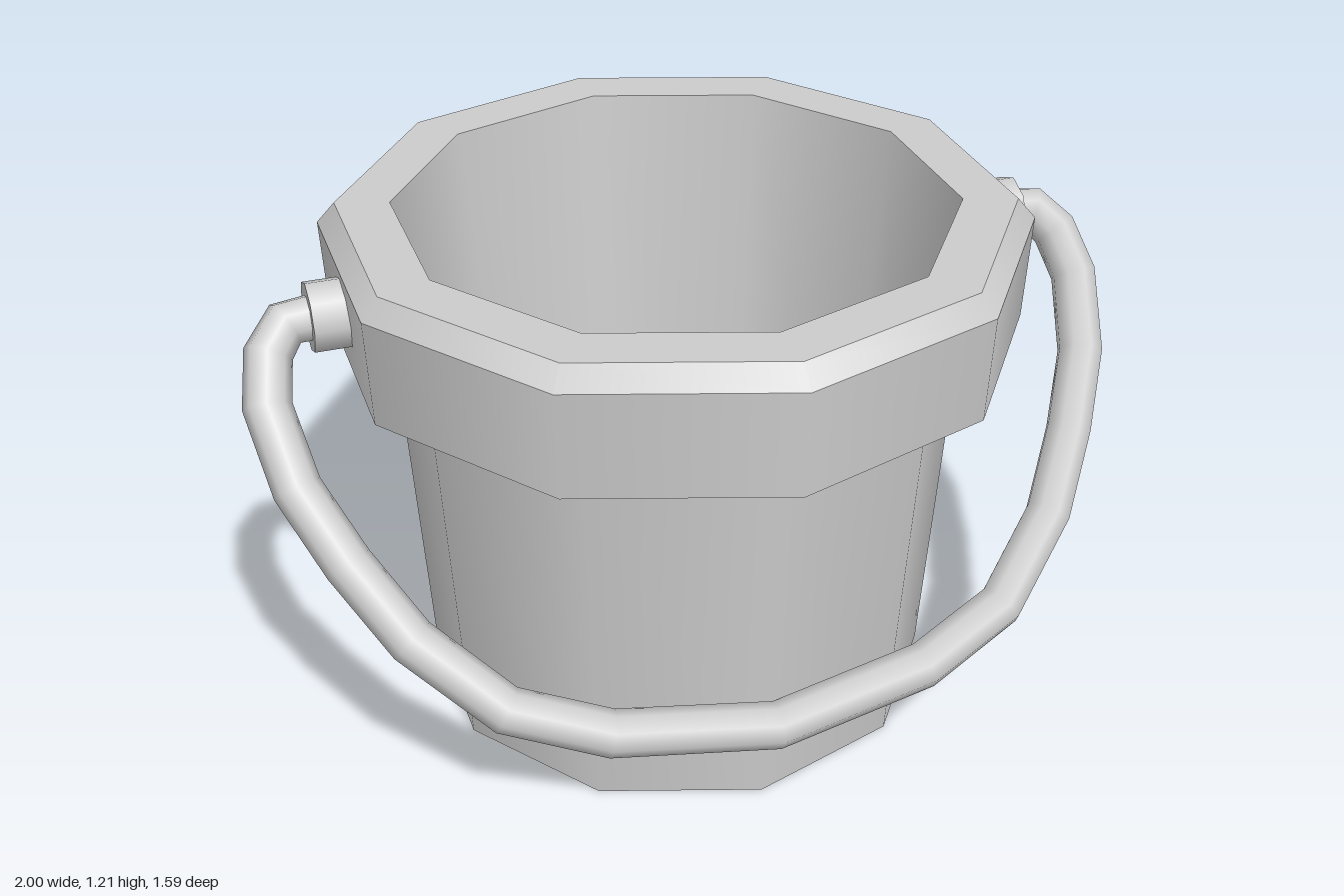
import * as THREE from 'three';

const SIDES = 10;

// Path through given points, one tube ring per point
class PointPath extends THREE.Curve {
  constructor(points) {
    super();
    this.points = points;
  }
  at(i) {
    return this.points[Math.min(Math.max(i, 0), this.points.length - 1)];
  }
  index(t) {
    return Math.round(t * (this.points.length - 1));
  }
  getPoint(t, target = new THREE.Vector3()) {
    return target.copy(this.at(this.index(t)));
  }
  getPointAt(t, target) {
    return this.getPoint(t, target);
  }
  getTangentAt(t, target = new THREE.Vector3()) {
    const i = this.index(t);
    const p = this.at(i);
    const before = p.clone().sub(this.at(i - 1)).normalize();
    const after = this.at(i + 1).clone().sub(p).normalize();
    return target.copy(before).add(after).normalize();
  }
}

export function createModel() {
  const model = new THREE.Group();
  const material = new THREE.MeshStandardMaterial({ color: 0xcccccc });

  const add = (name, geometry, parent = model) => {
    const mesh = new THREE.Mesh(geometry, material);
    mesh.name = name;
    parent.add(mesh);
    return mesh;
  };

  // Each band is its own lathe: smooth around, sharp between bands
  const addBands = (name, profile) => {
    const group = new THREE.Group();
    group.name = name;
    model.add(group);
    for (let i = 0; i < profile.length - 1; i++) {
      const pair = [profile[i], profile[i + 1]].map(([r, y]) => new THREE.Vector2(r, y));
      add(`${name}Band${i + 1}`, new THREE.LatheGeometry(pair, SIDES), group);
    }
  };

  // Bottom and tapered outer wall
  addBands('body', [[0, 0], [0.6, 0], [0.656, 0.915]]);
  // Collar: underside, side, bevel and flat top
  addBands('rim', [[0.656, 0.915], [0.785, 0.915], [0.796, 1.16], [0.755, 1.207], [0.632, 1.207]]);
  // Inner wall and floor
  addBands('inside', [[0.632, 1.207], [0.52, 0.06], [0, 0.06]]);

  // Pegs that hold the handle
  const pegY = 1.06;
  for (const side of [1, -1]) {
    const peg = add(side > 0 ? 'leftPeg' : 'rightPeg', new THREE.CylinderGeometry(0.08, 0.08, 0.13, 8));
    peg.rotation.z = Math.PI / 2;
    peg.position.set(side * 0.765, pegY, 0);
  }

  // Handle: half outline mirrored, hanging forward in a tilted plane
  const half = [
    [0.8, 1.06], [0.88, 1.055], [0.927, 1.01], [0.949, 0.925], [0.92, 0.785],
    [0.845, 0.65], [0.745, 0.51], [0.577, 0.37], [0.364, 0.297],
  ];
  const outline = [...half, [0, 0.252], ...half.map(([x, y]) => [-x, y]).reverse()];
  const points = outline.map(([x, y]) => new THREE.Vector3(x, y, (pegY - y) * 0.84));
  add('handle', new THREE.TubeGeometry(new PointPath(points), points.length - 1, 0.053, 8));

  return model;
}
